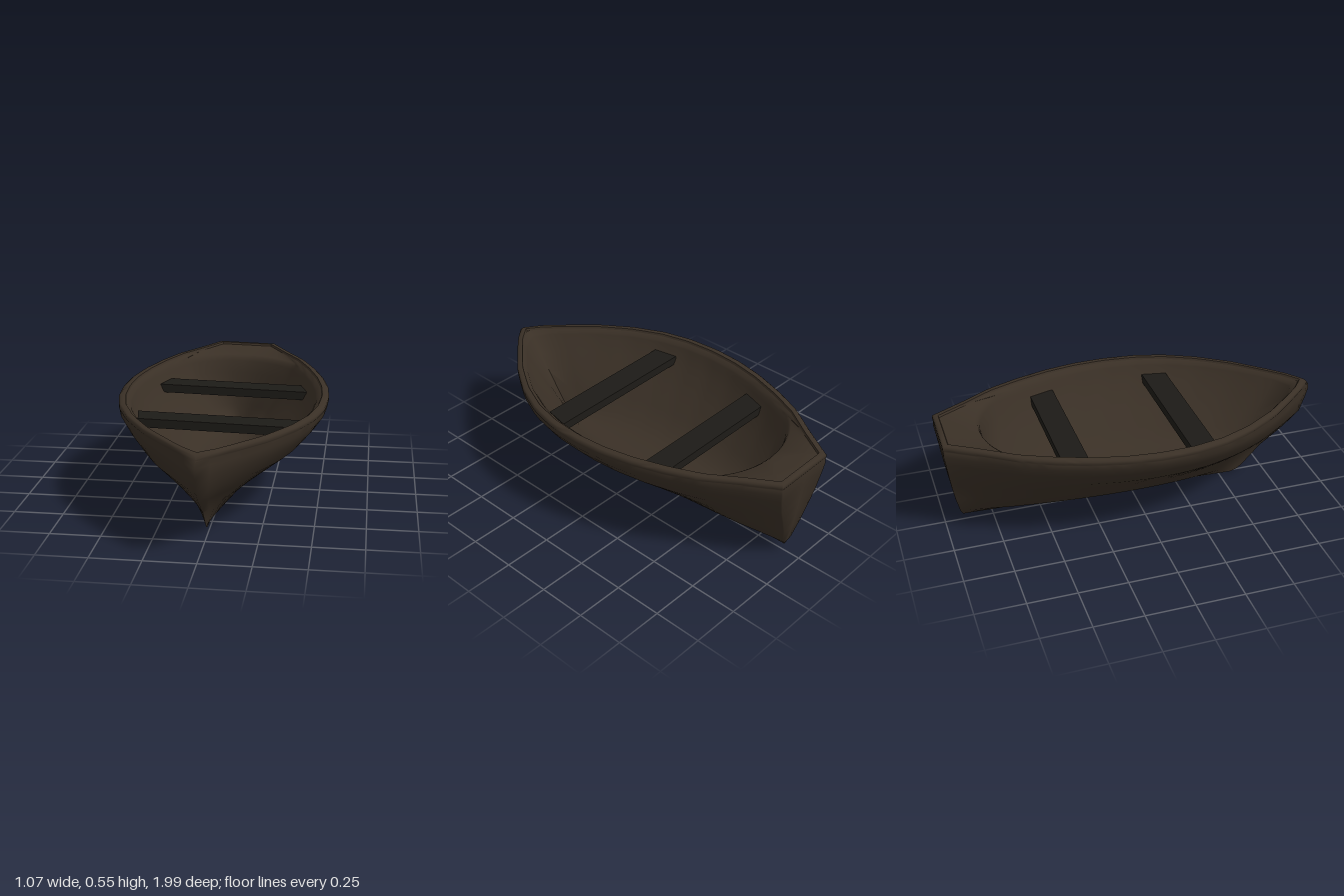
import * as THREE from 'three';
import { toCreasedNormals } from 'three/addons/utils/BufferGeometryUtils.js';

// Piecewise-linear lookup through [x, y] pairs
function lookup(pts, x) {
  if (x <= pts[0][0]) return pts[0][1];
  for (let i = 1; i < pts.length; i++) {
    const [x0, y0] = pts[i - 1], [x1, y1] = pts[i];
    if (x <= x1) return y0 + (y1 - y0) * (x - x0) / (x1 - x0);
  }
  return pts[pts.length - 1][1];
}

const lerp = THREE.MathUtils.lerp;

// Half-width of the gunwale along z
const beam = [[-0.99, 0.165], [-0.82, 0.265], [-0.66, 0.367], [-0.5, 0.435], [-0.33, 0.49], [-0.17, 0.523],
  [0, 0.536], [0.17, 0.525], [0.33, 0.489], [0.5, 0.415], [0.67, 0.305], [0.84, 0.155], [1, 0]];
const width = z => lookup(beam, z);
const sheer = z => 0.529 - 0.02 * z;

// Outer section: height fraction, width fraction, stem z, transom z
const outer = [[0, 0, 0.57, -0.905], [0.03, 0.06, 0.61, -0.912], [0.085, 0.18, 0.64, -0.922], [0.29, 0.38, 0.735, -0.945],
  [0.5, 0.61, 0.87, -0.962], [0.66, 0.79, 0.955, -0.973], [0.83, 0.92, 0.985, -0.984], [0.94, 0.985, 1, -0.992],
  [1, 0.995, 0.995, -0.99]];
// Inner section: height fraction, width fraction, stern z
const inner = [[1, 1, -0.8], [0.975, 0.99, -0.787], [0.92, 0.965, -0.778], [0.75, 0.89, -0.77], [0.5, 0.7, -0.762],
  [0.28, 0.53, -0.755], [0.1, 0.36, -0.75], [0.03, 0.2, -0.745], [0, 0, -0.74]];

// Each row maps u (0 stern, 1 bow) to a point on the +x side
const hullRows = outer.map(([v, f, stem, transom]) => u => {
  const zTop = lerp(-0.99, 1, u);
  const y = lerp(0.035 * (1 - u), sheer(zTop) - 0.03, v);
  return [width(zTop) * f, y, lerp(transom, stem, u)];
});
// Gunwale cap: inset, height from the sheer, bow z
const capRow = ([inset, dy, bow]) => u => {
  const z = lerp(-0.993 + inset * 0.8, bow, u);
  return [Math.max(0, width(z) - inset) * (u === 1 ? 0 : 1), sheer(z) + dy, z];
};
const capRows = [[0.003, -0.026, 0.99], [0, -0.022, 0.99], [0.001, -0.007, 0.975], [0.01, 0, 0.965],
  [0.036, 0, 0.945]].map(capRow);
// Ledge inside the cap, widening into the stern deck
const ledgeRow = capRow([0.041, -0.011, 0.935]);
// Well with a rounded stern end
function wellWidth(z) {
  const round = z < -0.3 ? 0.45 * Math.sqrt(Math.max(0, 1 - ((z + 0.3) / 0.49) ** 2)) : 1;
  return Math.max(0, Math.min(width(z) - 0.062, round));
}
const wellRows = inner.map(([v, f, stern]) => u => {
  const zTop = lerp(-0.79, 0.895, u);
  const y = lerp(0.115, sheer(zTop) - 0.026, v);
  return [wellWidth(zTop) * f * (u === 1 ? 0 : 1), y, lerp(stern, lerp(0.64, 0.895, v), u)];
});

// Skin rows on both sides; the first station lies on the centre line to close the stern
function skin(rows, crease) {
  const stations = 48;
  const grid = [];
  for (let i = -1; i <= stations; i++) {
    const u = (Math.max(0, i) / stations) ** 1.5;
    grid.push(rows.map(row => {
      const [x, y, z] = row(u);
      return new THREE.Vector3(i < 0 ? 0 : x, y, z);
    }));
  }
  const pos = [];
  const tri = (a, b, c) => {
    const area = b.clone().sub(a).cross(c.clone().sub(a)).length();
    if (area < 1e-8) return;
    for (const p of [a, b, c]) pos.push(p.x, p.y, p.z);
    for (const p of [a, c, b]) pos.push(-p.x, p.y, p.z);
  };
  for (let i = 0; i < grid.length - 1; i++) {
    for (let j = 0; j < rows.length - 1; j++) {
      const a = grid[i][j], b = grid[i][j + 1], c = grid[i + 1][j + 1], d = grid[i + 1][j];
      tri(a, b, d);
      tri(b, c, d);
    }
  }
  const g = new THREE.BufferGeometry();
  g.setAttribute('position', new THREE.Float32BufferAttribute(pos, 3));
  return toCreasedNormals(g, crease);
}

// Plank with slanted ends
function plank(zBack, zFront, halfBack, halfFront) {
  const s = new THREE.Shape();
  s.moveTo(-halfBack, zBack);
  s.lineTo(halfBack, zBack);
  s.lineTo(halfFront, zFront);
  s.lineTo(-halfFront, zFront);
  s.closePath();
  const g = new THREE.ExtrudeGeometry(s, { depth: 0.045, bevelEnabled: false });
  return g.rotateX(Math.PI / 2);
}

export function createModel() {
  const model = new THREE.Group();
  model.name = 'rowingBoat';
  // The boat leans slightly to one side
  const boat = new THREE.Group();
  boat.name = 'leaningBoat';
  boat.rotation.set(0, -0.006, -0.021);
  boat.position.x = -0.01;
  model.add(boat);

  const hullWood = new THREE.MeshStandardMaterial({ color: 0x3a3026, side: THREE.DoubleSide });
  const seatWood = new THREE.MeshStandardMaterial({ color: 0x1d1b17 });

  const add = (name, geometry, material, y = 0) => {
    const mesh = new THREE.Mesh(geometry, material);
    mesh.name = name;
    mesh.position.y = y;
    boat.add(mesh);
  };
  add('hull', skin([...hullRows, ...capRows], 1.7), hullWood);
  add('gunwaleLip', skin([capRows[capRows.length - 1], ledgeRow], 0.7), hullWood);
  add('deckAndWell', skin([ledgeRow, ...wellRows], 1.1), hullWood);
  add('rearSeat', plank(-0.445, -0.315, 0.38, 0.41), seatWood, 0.45);
  add('frontSeat', plank(0.195, 0.325, 0.42, 0.395), seatWood, 0.45);
  return model;
}
